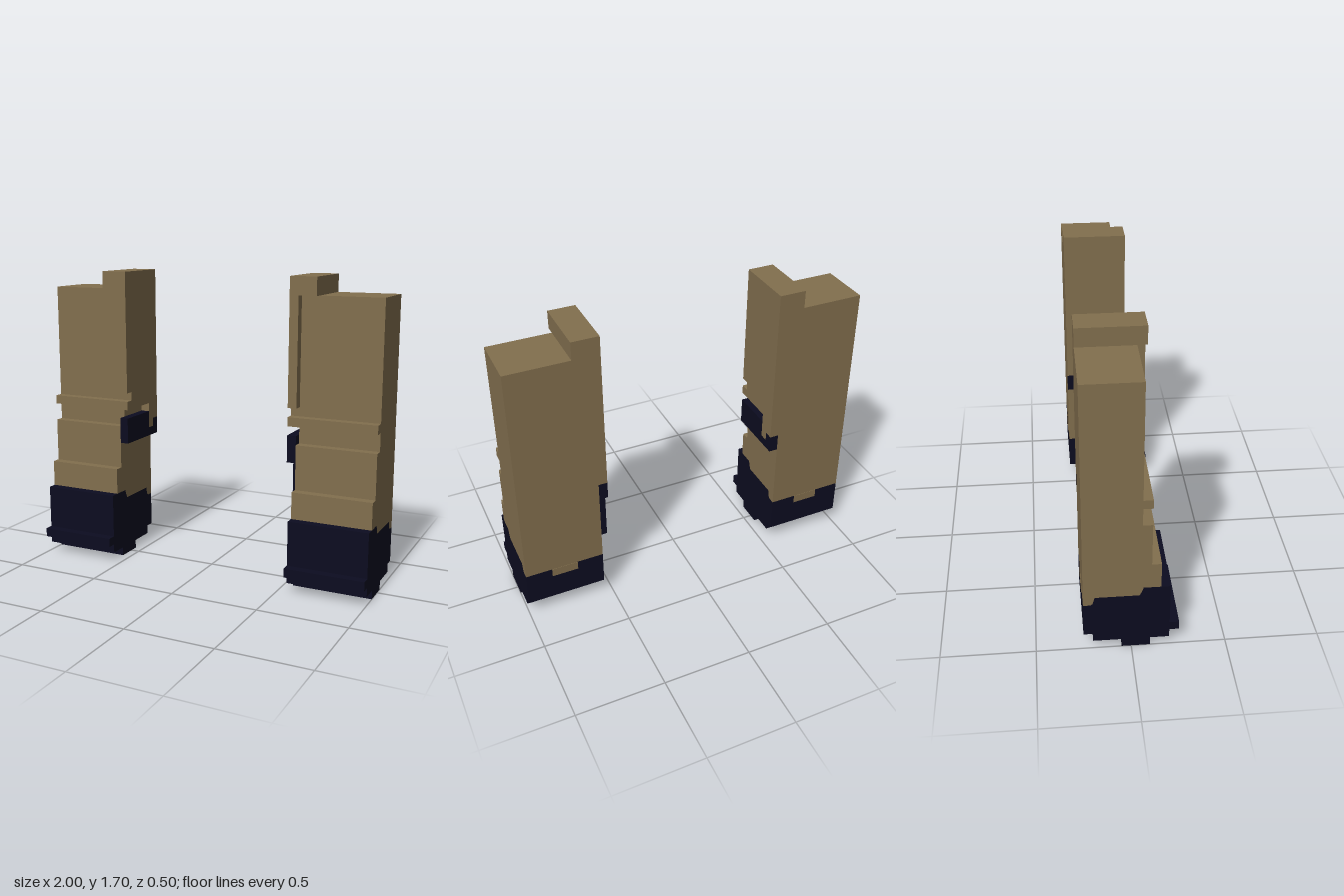
import * as THREE from 'three';

const tan = new THREE.MeshStandardMaterial({ name: 'tan cloth', color: 0x826f4e });
const navy = new THREE.MeshStandardMaterial({ name: 'dark navy', color: 0x0c0c20 });

// Side outlines as [z, y], extruded across x.
const seam = [[0.06, 0.4], [0.05, 0.37], [0.04, 0.35], [-0.19, 0.35], [-0.2, 0.31], [-0.21, 0.3], [-0.25, 0.3]];
const bootOutline = [
  [-0.05, 0], [0.1, 0], [0.1, 0.05], [0.2, 0.05], [0.2, 0.1], [0.25, 0.1], [0.25, 0.15], [0.2, 0.15], [0.2, 0.4],
  ...seam,
  [-0.25, 0.1], [-0.2, 0.1], [-0.2, 0.05], [-0.05, 0.05],
];
const bodyOutline = [
  [0.15, 0.4], [0.15, 0.55], [0.1, 0.55], [0.1, 0.8], [0.05, 0.8], [0.05, 0.9],
  [0.1, 0.9], [0.1, 0.95], [0.05, 0.95], [0.05, 1.6], [-0.25, 1.6],
  ...[...seam].reverse(),
];
// Inner layer, 0.05 thick: cloth above, belt below.
const innerClothOutline = [
  [0.1, 0.9], [0.1, 0.95], [0.05, 0.95], [0.05, 1.6], [-0.25, 1.6], [-0.25, 0.8],
  [-0.2, 0.8], [-0.2, 0.75], [-0.15, 0.75], [-0.15, 0.9],
];
const beltOutline = [
  [0.1, 0.7], [0.1, 0.85], [-0.15, 0.85], [-0.15, 0.75], [-0.2, 0.75], [-0.2, 0.8], [-0.25, 0.8], [-0.25, 0.7],
];

// Extrudes a [z, y] outline between two distances from the middle; s picks the side.
function slab(name, outline, xIn, xOut, s, material) {
  const shape = new THREE.Shape(outline.map(([z, y]) => new THREE.Vector2(z, y)));
  const geo = new THREE.ExtrudeGeometry(shape, { depth: xOut - xIn, bevelEnabled: false });
  geo.rotateY(-Math.PI / 2);
  geo.translate(s > 0 ? xOut : -xIn, 0, 0);
  const mesh = new THREE.Mesh(geo, material);
  mesh.name = name;
  return mesh;
}

// Box given by its extents, mirrored by s.
function box(name, [x0, x1], [y0, y1], [z0, z1], s, material) {
  const mesh = new THREE.Mesh(new THREE.BoxGeometry(x1 - x0, y1 - y0, z1 - z0), material);
  mesh.position.set(s * (x0 + x1) / 2, (y0 + y1) / 2, (z0 + z1) / 2);
  mesh.name = name;
  return mesh;
}

function createSide(s) {
  const side = new THREE.Group();
  side.name = s > 0 ? 'leftHalf' : 'rightHalf';
  side.add(
    slab('boot', bootOutline, 0.55, 1, s, navy),
    slab('legAndCoat', bodyOutline, 0.55, 1, s, tan),
    slab('innerCoat', innerClothOutline, 0.5, 0.55, s, tan),
    slab('belt', beltOutline, 0.5, 0.55, s, navy),
    box('coatEdge', [0.5, 0.55], [1, 1.6], [0.05, 0.1], s, tan),
    box('collar', [0.5, 0.65], [1.6, 1.7], [-0.25, 0.1], s, tan),
    // cloth dipping into the back of the boot
    box('bootBackNotch', [0.7, 0.85], [0.25, 0.3], [-0.252, -0.249], s, tan),
  );
  return side;
}

export function createModel() {
  const model = new THREE.Group();
  model.name = 'splitCoatHalves';
  model.add(createSide(1), createSide(-1));
  // holster hangs from the belt on one side only
  model.add(box('holster', [0.5, 0.55], [0.4, 0.7], [-0.2, 0], 1, navy));
  // cloth patch between belt and holster
  model.add(box('holsterGap', [0.497, 0.502], [0.7, 0.75], [-0.2, -0.05], 1, tan));
  return model;
}
